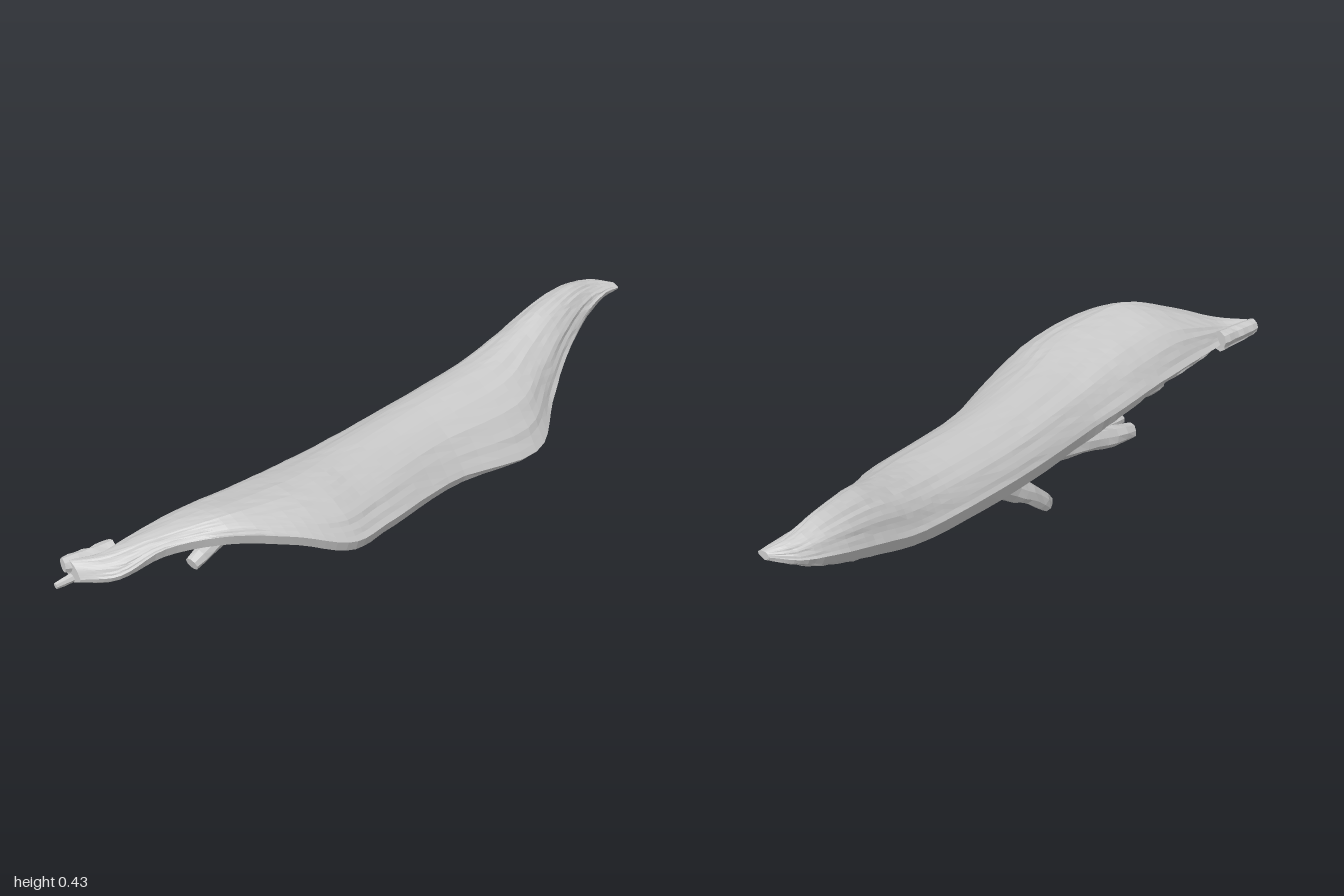
import * as THREE from 'three';

const V = (x, y, z) => new THREE.Vector3(x, y, z);
const mat = new THREE.MeshStandardMaterial({ color: 0xcccccc, flatShading: true, side: THREE.DoubleSide });

// small seeded noise, -1..1
let seed = 7;
const rnd = () => {
  seed = (seed * 16807) % 2147483647;
  return (seed / 2147483647) * 2 - 1;
};

// skin a list of closed rings and close both ends
function loft(name, rings) {
  const n = rings[0].length, pos = [], idx = [];
  rings.forEach(r => r.forEach(p => pos.push(p.x, p.y, p.z)));
  for (let j = 0; j < rings.length - 1; j++) {
    for (let i = 0; i < n; i++) {
      const a = j * n + i, b = j * n + (i + 1) % n;
      idx.push(a, a + n, b, b, a + n, b + n);
    }
  }
  [0, rings.length - 1].forEach((j, end) => {
    const c = rings[j].reduce((s, p) => s.add(p), V(0, 0, 0)).divideScalar(n);
    const ci = pos.length / 3;
    pos.push(c.x, c.y, c.z);
    for (let i = 0; i < n; i++) {
      const a = j * n + i, b = j * n + (i + 1) % n;
      if (end) idx.push(ci, b, a); else idx.push(ci, a, b);
    }
  });
  const g = new THREE.BufferGeometry();
  g.setAttribute('position', new THREE.Float32BufferAttribute(pos, 3));
  g.setIndex(idx);
  g.computeVertexNormals();
  const m = new THREE.Mesh(g, mat);
  m.name = name;
  return m;
}

// tapering knobbly stub along a curve
function stub(name, points, r0, r1, sides = 9) {
  const curve = new THREE.CatmullRomCurve3(points), rings = [], steps = 7;
  for (let j = 0; j <= steps; j++) {
    const t = j / steps, c = curve.getPoint(t), d = curve.getTangent(t);
    const u = V(1, 0, 0).addScaledVector(d, -d.x).normalize();
    const v = d.clone().cross(u);
    const r = THREE.MathUtils.lerp(r0, r1, Math.sqrt(t)) * (j === steps ? 0.85 : 1);
    rings.push(Array.from({ length: sides }, (_, i) => {
      const a = i / sides * Math.PI * 2, k = r * (1 + 0.08 * rnd());
      return c.clone().addScaledVector(u, Math.cos(a) * k).addScaledVector(v, -Math.sin(a) * k);
    }));
  }
  return loft(name, rings);
}

// stations: z, left x y, ridge x y, right rim x y, bottom x y, hollow y
const stations = [
  [-1.0, -.045, .385, -.03, .397, -.008, .388, -.03, .372, .377],
  [-.95, -.105, .375, -.06, .412, -.01, .388, -.07, .35, .36],
  [-.85, -.14, .355, -.06, .434, 0, .355, -.08, .3, .32],
  [-.7, -.15, .31, -.045, .425, .055, .30, -.07, .23, .24],
  [-.57, -.155, .27, -.03, .392, .12, .235, -.06, .185, .195],
  [-.43, -.16, .25, -.01, .365, .2, .168, -.06, .155, .155],
  [-.1, -.168, .225, 0, .347, .18, .205, -.08, .137, .165],
  [.2, -.168, .22, .03, .35, .225, .235, -.1, .15, .2],
  [.35, -.178, .225, .06, .36, .243, .252, -.12, .17, .235],
  [.5, -.18, .23, .05, .37, .185, .315, -.13, .185, .27],
  [.65, -.185, .23, .02, .372, .09, .345, -.14, .195, .285],
  [.78, -.19, .23, -.07, .325, -.02, .312, -.15, .2, .265],
  [.88, -.2, .235, -.14, .28, -.085, .245, -.16, .2, .215],
  [.95, -.235, .245, -.205, .265, -.165, .225, -.2, .2, .208],
];

// arched top, sharp rim, hollow underside, left flank
function section([z, lx, ly, tx, ty, rx, ry, bx, by, hy]) {
  const mix = THREE.MathUtils.lerp;
  const lip = Math.max(0.006, Math.min(0.032, (ry - by) * 0.4));
  const top = new THREE.CatmullRomCurve3([
    V(lx, ly, z),
    V(mix(lx, tx, .32), mix(ly, ty, .68), z),
    V(tx, ty, z),
    V(mix(tx, rx, .6), mix(ty, ry, .35), z),
    V(rx, ry, z),
  ]);
  const under = new THREE.CatmullRomCurve3([
    V(rx - lip * .4, ry - lip, z),
    V(mix(bx, rx, .5), hy, z),
    V(bx, by, z),
    V(mix(bx, lx, .75), mix(by, ly, .45), z),
  ]);
  return [...top.getPoints(25), ...under.getPoints(19)];
}

function body() {
  const sections = stations.map(section), n = sections[0].length, steps = 64;
  const rails = sections[0].map((_, i) => new THREE.CatmullRomCurve3(sections.map(s => s[i])));
  const grain = rails.map(() => [rnd(), rnd() * 3, 5 + 4 * rnd()]);
  const rings = [];
  for (let j = 0; j <= steps; j++) {
    const t = j / steps, ring = rails.map(r => r.getPoint(t));
    const c = ring.reduce((s, p) => s.add(p), V(0, 0, 0)).divideScalar(n);
    const fade = Math.min(1, 12 * t * (1 - t));
    // lengthwise grooves, rougher underneath
    rings.push(ring.map((p, i) => {
      const [amp, phase, freq] = grain[i], depth = i > 26 ? .007 : .0035;
      const k = fade * depth * (amp * Math.sin(phase + freq * t * 3) + .25 * rnd());
      const d = p.clone().sub(c).setZ(0).normalize();
      return p.clone().addScaledVector(d, k);
    }));
  }
  return loft('bark', rings);
}

export function createModel() {
  const g = new THREE.Group();
  g.name = 'driftwood';
  g.add(body());
  // broken branches underneath
  g.add(stub('rearBranch', [V(-.075, .19, -.16), V(-.09, .12, -.07), V(-.105, .08, -.01), V(-.113, .022, .05)], .05, .026));
  g.add(stub('middleBranch', [V(-.1, .19, .08), V(-.125, .155, .22), V(-.14, .13, .31), V(-.155, .11, .405)], .045, .028));
  g.add(stub('middleBranchFork', [V(-.12, .16, .24), V(-.12, .15, .33), V(-.125, .142, .4)], .025, .016, 7));
  g.add(stub('frontBranch', [V(-.12, .215, .4), V(-.11, .18, .52), V(-.098, .147, .635)], .035, .024));
  // splintered front end
  g.add(stub('upperSplinter', [V(-.19, .245, .82), V(-.205, .245, .89), V(-.224, .247, .96)], .03, .024, 8));
  g.add(stub('lowerSplinter', [V(-.18, .218, .84), V(-.2, .213, .92), V(-.208, .209, 1)], .025, .01, 7));
  return g;
}
